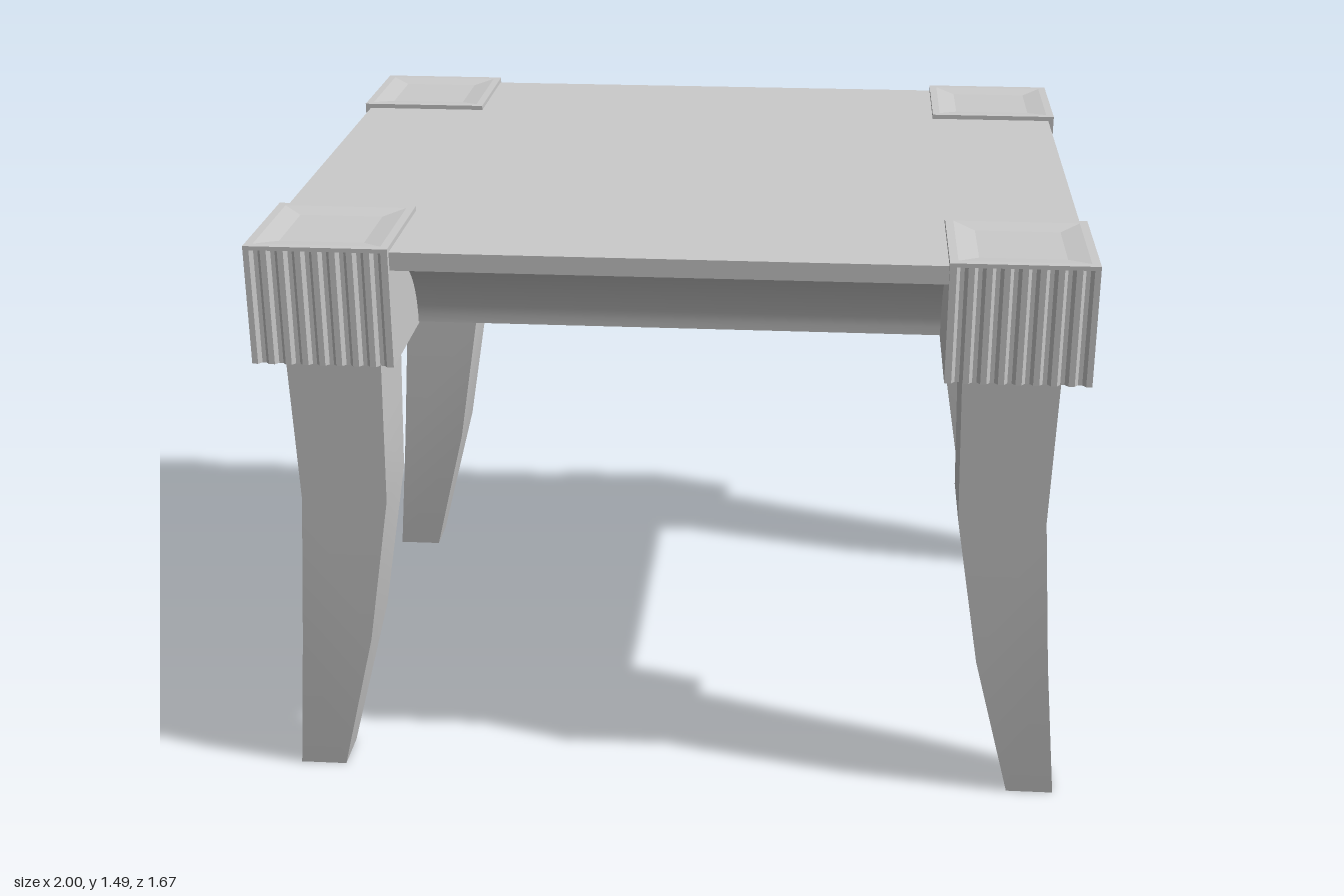
import * as THREE from 'three';
import { toCreasedNormals } from 'three/addons/utils/BufferGeometryUtils.js';

const material = new THREE.MeshStandardMaterial({ color: 0xcccccc });

// Lofts rectangular sections [x0, x1, y, z0, z1] and caps both ends.
function loft(sections) {
  const points = [], index = [];
  for (const [x0, x1, y, z0, z1] of sections) {
    points.push(x0, y, z1, x1, y, z1, x1, y, z0, x0, y, z0);
  }
  for (let s = 0; s < sections.length - 1; s++) {
    for (let i = 0; i < 4; i++) {
      const a = s * 4 + i, b = s * 4 + (i + 1) % 4;
      index.push(a, b, b + 4, a, b + 4, a + 4);
    }
  }
  const t = (sections.length - 1) * 4;
  index.push(0, 2, 1, 0, 3, 2, t, t + 1, t + 2, t, t + 2, t + 3);
  const geometry = new THREE.BufferGeometry();
  geometry.setAttribute('position', new THREE.Float32BufferAttribute(points, 3));
  geometry.setIndex(index);
  return geometry;
}

// Mirrors a part into one corner, keeping its faces outward.
function makePart(name, geometry, crease, sx = 1, sz = 1) {
  const source = geometry.index ? geometry.toNonIndexed() : geometry;
  const p = source.attributes.position, flip = sx * sz < 0, out = [];
  for (let i = 0; i < p.count; i += 3) {
    for (const k of flip ? [0, 2, 1] : [0, 1, 2]) {
      out.push(p.getX(i + k) * sx, p.getY(i + k), p.getZ(i + k) * sz);
    }
  }
  const result = new THREE.BufferGeometry();
  result.setAttribute('position', new THREE.Float32BufferAttribute(out, 3));
  result.computeVertexNormals();
  const mesh = new THREE.Mesh(toCreasedNormals(result, crease), material);
  mesh.name = name;
  return mesh;
}

// Corner block: plain inner faces, fluted outer faces.
function blockGeometry() {
  const x0 = 0.655, x1 = 1, z0 = 0.49, z1 = 0.835;
  const count = 8, depth = 0.01, step = (x1 - x0) / (count + 0.4);
  const shape = new THREE.Shape();
  shape.moveTo(x0, z0);
  shape.lineTo(x1, z0);
  const groove = [[0.4, 0], [0.6, depth], [0.85, depth], [1.05, 0]];
  for (let i = 0; i < count; i++) {
    for (const [t, d] of groove) shape.lineTo(x1 - d, z0 + (i + t) * step);
  }
  shape.lineTo(x1, z1);
  for (let i = count - 1; i >= 0; i--) {
    for (const [t, d] of [...groove].reverse()) shape.lineTo(x0 + (i + t) * step, z1 - d);
  }
  shape.lineTo(x0, z1);
  shape.closePath();
  const geometry = new THREE.ExtrudeGeometry(shape, { depth: 0.288, bevelEnabled: false });
  return geometry.rotateX(Math.PI / 2).translate(0, 1.478, 0);
}

export function createModel() {
  const model = new THREE.Group();
  model.name = 'table';

  // Flat top
  const top = new THREE.BoxGeometry(1.97, 0.045, 1.64).translate(0, 1.4525, 0);
  model.add(makePart('tableTop', top, 0.5));

  // Hollow-curved apron under the top
  const cove = [], steps = 16, inset = 0.29;
  for (let i = 0; i <= steps; i++) {
    const t = (i / steps) * Math.PI / 2;
    const d = inset * Math.cos(t), y = 1.195 + 0.235 * Math.sin(t);
    cove.push([-0.985 + d, 0.985 - d, y, -0.82 + d, 0.82 - d]);
  }
  model.add(makePart('coveApron', loft(cove), 0.6));

  // Curved, tapering leg
  const leg = loft([
    [0.875, 0.995, 0, 0.6, 0.72],
    [0.775, 0.955, 0.4, 0.56, 0.755],
    [0.71, 0.925, 0.8, 0.55, 0.765],
    [0.705, 0.93, 1, 0.545, 0.77],
    [0.7, 0.935, 1.195, 0.54, 0.775],
  ]);

  // Shallow dished cap of the corner block
  const cap = loft([
    [0.655, 1, 1.477, 0.49, 0.835],
    [0.655, 1, 1.487, 0.49, 0.835],
    [0.675, 0.98, 1.487, 0.51, 0.815],
    [0.725, 0.93, 1.479, 0.56, 0.765],
  ]);
  const block = blockGeometry();

  for (const sx of [1, -1]) {
    for (const sz of [1, -1]) {
      const corner = new THREE.Group();
      corner.name = (sz > 0 ? 'front' : 'back') + (sx > 0 ? 'Left' : 'Right') + 'Corner';
      corner.add(
        makePart('leg', leg, 0.6, sx, sz),
        makePart('flutedBlock', block, 0.3, sx, sz),
        makePart('blockCap', cap, 0.1, sx, sz),
      );
      model.add(corner);
    }
  }
  return model;
}
